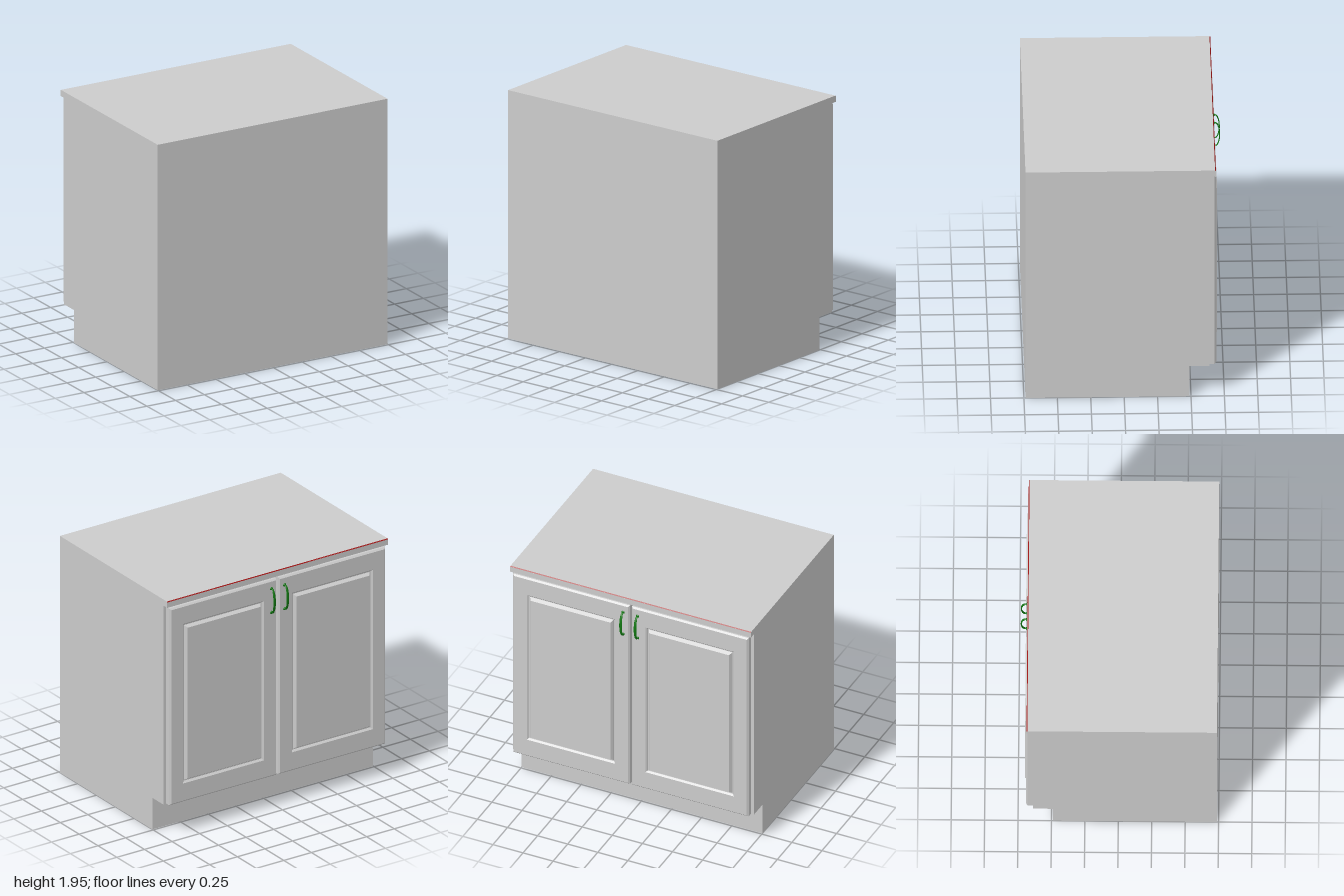
import * as THREE from 'three';

const grey = new THREE.MeshStandardMaterial({ color: 0xcccccc, flatShading: true });
const shell = new THREE.MeshStandardMaterial({ color: 0xcccccc, flatShading: true, side: THREE.DoubleSide });
const green = new THREE.MeshStandardMaterial({ color: 0x117711 });
const red = new THREE.MeshStandardMaterial({ color: 0xa01515 });

function add(parent, name, geometry, material, x = 0, y = 0, z = 0) {
  const mesh = new THREE.Mesh(geometry, material);
  mesh.name = name;
  mesh.position.set(x, y, z);
  parent.add(mesh);
  return mesh;
}

function rect(w, h, Type = THREE.Shape) {
  return new Type([[-1, -1], [1, -1], [1, 1], [-1, 1]]
    .map(([x, y]) => new THREE.Vector2(x * w / 2, y * h / 2)));
}

// Rectangular slab from z = 0 whose front edges slope in by `inset` over `rise`
function bevelledSlab(w, h, depth, inset, rise) {
  const slab = new THREE.BoxGeometry(w, h, depth + rise, 1, 1, 2).translate(0, 0, (depth + rise) / 2);
  const p = slab.attributes.position;
  for (let i = 0; i < p.count; i++) {
    const z = p.getZ(i);
    if (z > depth + rise - 1e-5) {
      p.setX(i, Math.sign(p.getX(i)) * (w / 2 - inset));
      p.setY(i, Math.sign(p.getY(i)) * (h / 2 - inset));
    } else if (z > 1e-5) p.setZ(i, depth);
  }
  slab.computeVertexNormals();
  return slab;
}

// Hollow carcass: the extruded side profile without its floor
function openCarcass(profile, width) {
  const solid = new THREE.ExtrudeGeometry(profile, { depth: width, bevelEnabled: false })
    .translate(0, 0, -width / 2).rotateY(-Math.PI / 2);
  const p = solid.attributes.position;
  const kept = [];
  for (let i = 0; i < p.count; i += 3) {
    const onFloor = [0, 1, 2].every((k) => p.getY(i + k) < 1e-5);
    if (!onFloor) kept.push(...p.array.slice(i * 3, i * 3 + 9));
  }
  const open = new THREE.BufferGeometry();
  open.setAttribute('position', new THREE.Float32BufferAttribute(kept, 3));
  open.computeVertexNormals();
  return open;
}

function createDoor(w, h) {
  const door = new THREE.Group();
  door.name = 'door';
  const holeW = w - 0.26, holeH = h - 0.33, bevel = 0.012;

  // Backing board, which is also the floor of the groove
  add(door, 'doorBack', new THREE.BoxGeometry(w, h, 0.036), grey, 0, 0, 0.018);

  // Frame with chamfered edges around the panel opening
  const frame = rect(w - 2 * bevel, h - 2 * bevel);
  frame.holes.push(rect(holeW + 2 * bevel, holeH + 2 * bevel, THREE.Path));
  add(door, 'doorFrame', new THREE.ExtrudeGeometry(frame, {
    depth: 0.005, bevelEnabled: true, bevelThickness: bevel, bevelSize: bevel, bevelSegments: 1,
  }), grey, 0, 0, 0.036);

  // Raised centre panel
  add(door, 'raisedPanel', bevelledSlab(holeW - 0.016, holeH - 0.016, 0.004, 0.016, 0.024), grey, 0, 0, 0.034);
  return door;
}

function createHandle() {
  const handle = new THREE.Group();
  handle.name = 'handle';
  // Bowed grip
  const path = new THREE.CatmullRomCurve3([
    [-0.098, 0], [-0.096, 0.02], [-0.06, 0.038], [0, 0.045], [0.06, 0.038], [0.096, 0.02], [0.098, 0],
  ].map(([y, z]) => new THREE.Vector3(0, y, z)));
  const grip = new THREE.TubeGeometry(path, 32, 0.004, 10);
  // Widen the grip towards its middle
  const p = grip.attributes.position;
  for (let i = 0; i < p.count; i++) {
    p.setX(i, p.getX(i) * (1.2 + 1.6 * Math.max(0, p.getZ(i)) / 0.045));
  }
  grip.computeVertexNormals();
  add(handle, 'handleGrip', grip, green);
  for (const y of [-0.098, 0.098]) {
    add(handle, 'handleFoot', new THREE.CylinderGeometry(0.008, 0.014, 0.008, 16).rotateX(Math.PI / 2),
      green, 0, y, 0.004);
  }
  return handle;
}

export function createModel() {
  const model = new THREE.Group();
  model.name = 'baseCabinet';
  // Built with the doors facing +z, then turned so they face -z
  const cabinet = new THREE.Group();
  cabinet.name = 'cabinet';
  cabinet.rotation.y = Math.PI;
  model.add(cabinet);

  // Carcass side profile: toe kick, door face and overhanging top
  const profile = new THREE.Shape([
    [-0.738, 0], [0.488, 0], [0.488, 0.26], [0.637, 0.26], [0.637, 1.9],
    [0.686, 1.9], [0.686, 1.944], [0.68, 1.95], [-0.738, 1.95],
  ].map(([z, y]) => new THREE.Vector2(z, y)));
  add(cabinet, 'carcass', openCarcass(profile, 2), shell);

  // Coloured strip on the chamfer of the top edge
  add(cabinet, 'edgeStrip', new THREE.PlaneGeometry(2, 0.0085), red, 0, 1.9475, 0.6835)
    .rotation.x = -Math.PI / 4;

  // Pair of doors with handles by the meeting edges
  for (const side of [-1, 1]) {
    const door = createDoor(0.97, 1.62);
    door.position.set(side * 0.493, 1.075, 0.637);
    cabinet.add(door);
    const handle = createHandle();
    handle.position.set(side * 0.06, 1.718, 0.689);
    cabinet.add(handle);
  }
  return model;
}
